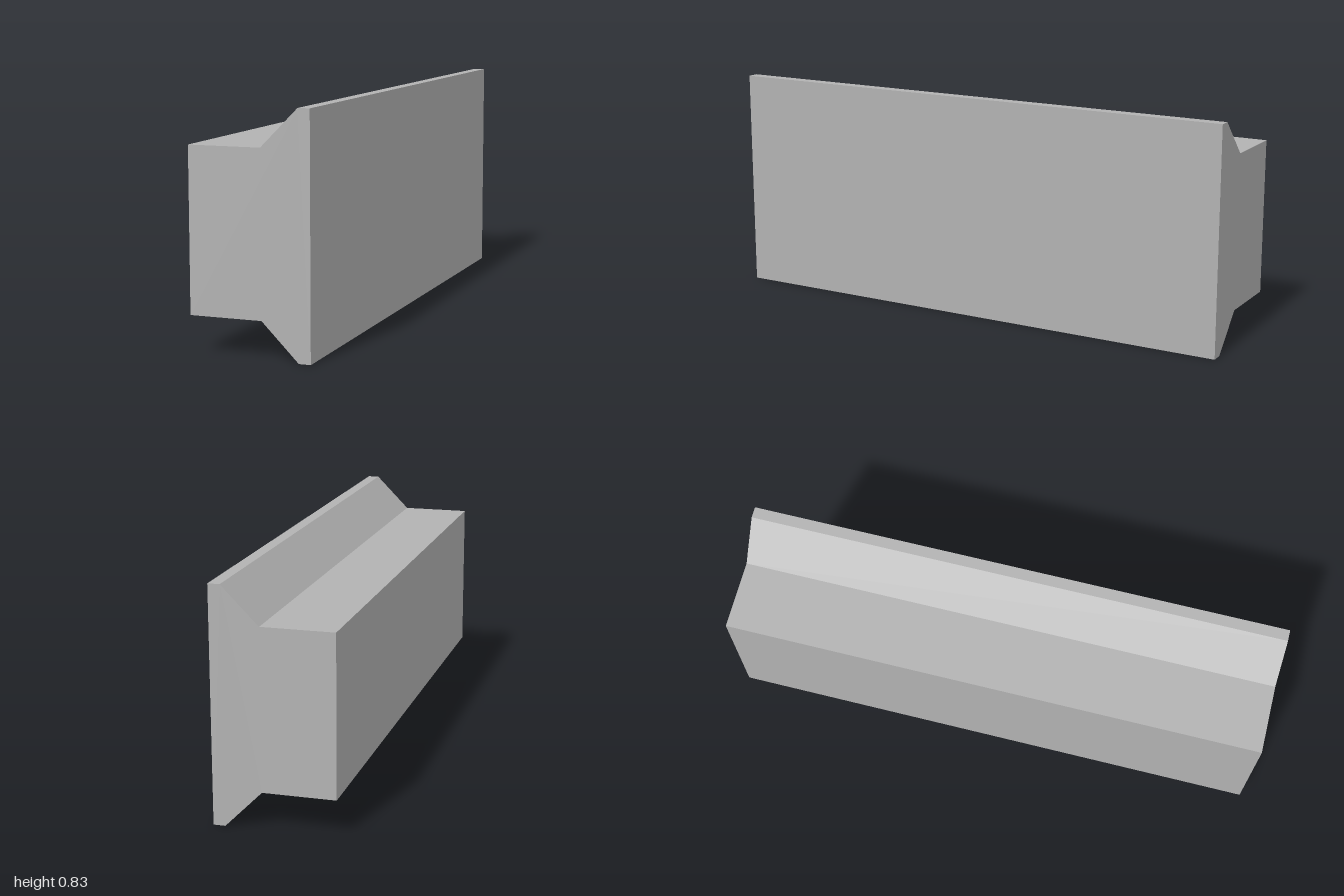
import * as THREE from 'three';

// A straight bar with a constant cross-section: a block flaring into a wider flange on +x.
export function createModel() {
  const group = new THREE.Group();
  group.name = 'flangedBar';

  const gray = new THREE.MeshStandardMaterial({ color: 0xb2b2b2 });
  gray.name = 'plain gray';

  const height = 0.833, length = 2;

  // Lower half of the profile, mirrored about mid-height for the upper half
  const lower = [[-0.215, 0.132], [0.042, 0.132], [0.173, 0], [0.215, 0]];
  const upper = lower.map(([x, y]) => [x, height - y]).reverse();
  const profile = new THREE.Shape([...lower, ...upper].map(([x, y]) => new THREE.Vector2(x, y)));

  const geometry = new THREE.ExtrudeGeometry(profile, { depth: length, bevelEnabled: false });
  geometry.translate(0, 0, -length / 2);

  const bar = new THREE.Mesh(geometry, gray);
  bar.name = 'bar';
  group.add(bar);
  return group;
}
